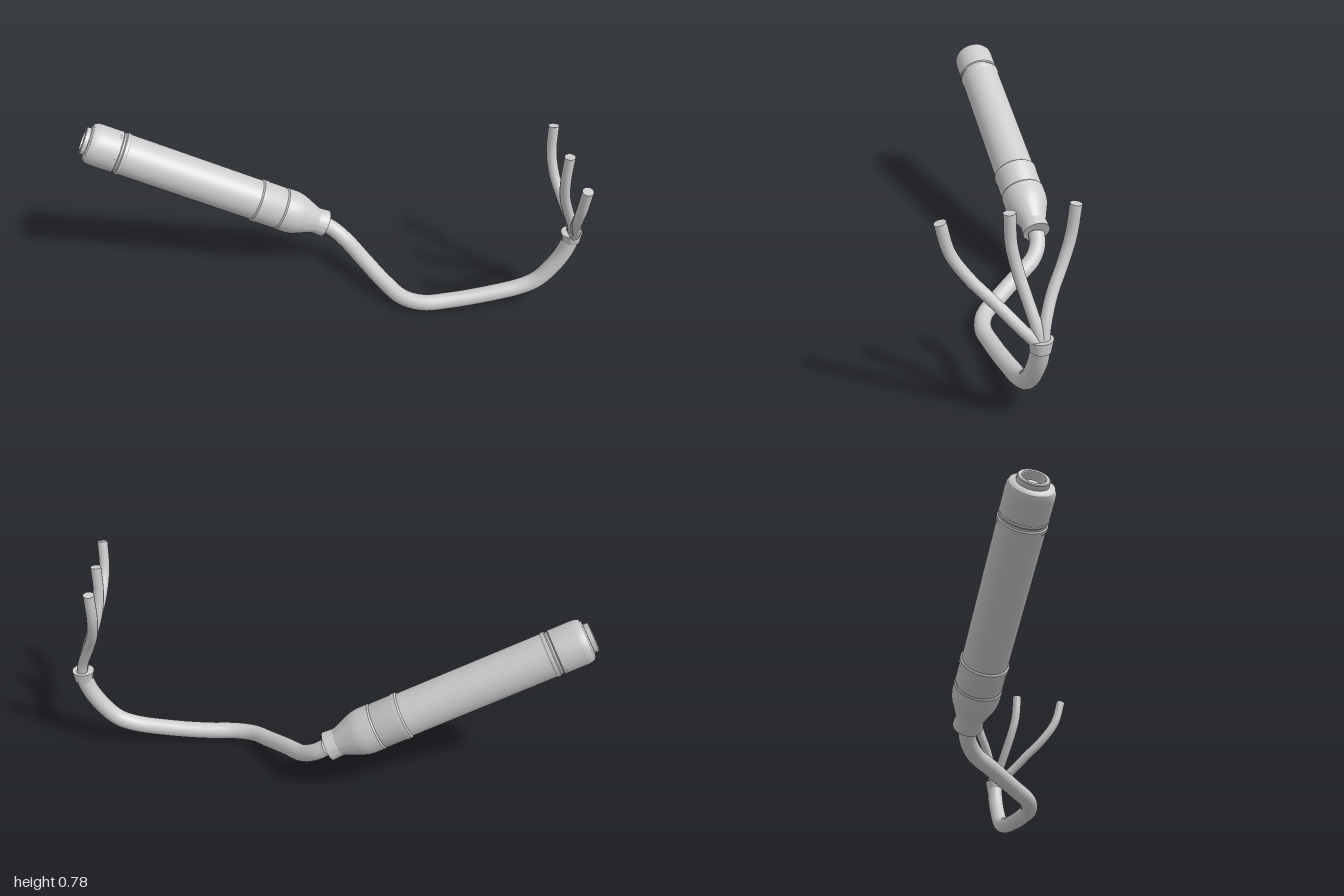
import * as THREE from 'three';
import { toCreasedNormals } from 'three/addons/utils/BufferGeometryUtils.js';

const grey = new THREE.MeshStandardMaterial({ color: 0xcccccc });
grey.name = 'light grey';

const V = (x, y, z) => new THREE.Vector3(x, y, z);

function addMesh(parent, name, geometry) {
  const mesh = new THREE.Mesh(geometry, grey);
  mesh.name = name;
  parent.add(mesh);
  return mesh;
}

// Turned part from [radius, height] pairs, listed upwards
function turned(parent, name, profile) {
  const points = profile.map(([r, y]) => new THREE.Vector2(r, y));
  return addMesh(parent, name, toCreasedNormals(new THREE.LatheGeometry(points, 48), 0.5));
}

// Round cable with flat caps at both ends
function cable(parent, name, points, radius, segments) {
  const curve = new THREE.CatmullRomCurve3(points);
  const group = new THREE.Group();
  group.name = name;
  parent.add(group);
  addMesh(group, name + 'Sheath', new THREE.TubeGeometry(curve, segments, radius, 20));
  for (const t of [0, 1]) {
    const cap = addMesh(group, name + 'Cap', new THREE.CircleGeometry(radius, 20));
    const out = curve.getTangent(t).multiplyScalar(t ? 1 : -1);
    cap.position.copy(curve.getPoint(t));
    cap.quaternion.setFromUnitVectors(V(0, 0, 1), out);
  }
}

export function createModel() {
  const model = new THREE.Group();
  model.name = 'probeWithCable';

  // Tilted barrel, built upright from the cable end to the tip
  const barrel = new THREE.Group();
  barrel.name = 'barrel';
  const base = V(-0.01, 0.212, -0.288);
  const tip = V(-0.955, 0.68, -0.312);
  barrel.position.copy(base);
  barrel.quaternion.setFromUnitVectors(V(0, 1, 0), tip.sub(base).normalize());
  model.add(barrel);

  turned(barrel, 'cableCollar', [[0, 0], [0.058, 0], [0.055, 0.045], [0, 0.045]]);
  turned(barrel, 'taperedShoulder', [
    [0, 0.035], [0.052, 0.035], [0.06, 0.06], [0.083, 0.118], [0.089, 0.138],
    [0.092, 0.16], [0.092, 0.205], [0.087, 0.212], [0, 0.212],
  ]);
  turned(barrel, 'gripBand', [
    [0, 0.21], [0.087, 0.21], [0.09, 0.217], [0.09, 0.295], [0.092, 0.3],
    [0.092, 0.318], [0.086, 0.324], [0, 0.324],
  ]);
  turned(barrel, 'mainTube', [[0, 0.32], [0.086, 0.32], [0.085, 0.9], [0, 0.9]]);
  turned(barrel, 'tipRing', [
    [0, 0.895], [0.085, 0.895], [0.088, 0.9], [0.088, 0.912], [0.083, 0.916],
    [0.083, 0.924], [0.087, 0.928], [0.087, 0.938], [0, 0.938],
  ]);
  // Rounded tip with a hollow nozzle
  turned(barrel, 'tipCap', [
    [0, 0.935], [0.086, 0.935], [0.086, 1.015], [0.084, 1.032], [0.078, 1.044],
    [0.068, 1.05], [0.056, 1.051], [0.056, 1.068], [0.053, 1.071], [0.042, 1.071],
    [0.04, 1.068], [0.04, 1.0], [0, 1.0],
  ]);
  turned(barrel, 'nozzleCore', [[0, 0.995], [0.024, 0.995], [0.024, 1.045], [0.02, 1.05], [0, 1.05]]);

  // Main cable sweeping from the barrel up to the splitter
  cable(model, 'mainCable', [
    V(-0.005, 0.207, -0.286), V(0.035, 0.178, -0.275), V(0.085, 0.142, -0.235),
    V(0.145, 0.108, -0.145), V(0.215, 0.07, -0.043), V(0.28, 0.046, 0.035),
    V(0.36, 0.037, 0.068), V(0.47, 0.041, 0.071), V(0.62, 0.06, 0.071),
    V(0.77, 0.092, 0.071), V(0.835, 0.125, 0.071), V(0.89, 0.19, 0.071),
    V(0.93, 0.262, 0.071), V(0.953, 0.335, 0.071),
  ], 0.034, 110);

  // Flared splitter
  const splitter = turned(model, 'splitter', [[0, 0], [0.035, 0], [0.036, 0.006], [0.043, 0.044], [0, 0.044]]);
  splitter.position.set(0.952, 0.317, 0.071);
  splitter.rotation.z = 0.06;

  // Three wires share one profile in x and y and fan out in z
  const rise = [[0.957, 0.345], [0.942, 0.405], [0.905, 0.495], [0.876, 0.58], [0.862, 0.67], [0.861, 0.78]];
  const fans = {
    frontWire: [0.082, 0.135, 0.213, 0.288, 0.345, 0.375],
    middleWire: [0.071, 0.084, 0.106, 0.127, 0.145, 0.152],
    backWire: [0.064, 0.054, 0.019, -0.025, -0.056, -0.069],
  };
  for (const [name, zs] of Object.entries(fans)) {
    cable(model, name, rise.map(([x, y], i) => V(x, y, zs[i])), 0.0205, 40);
  }

  return model;
}
